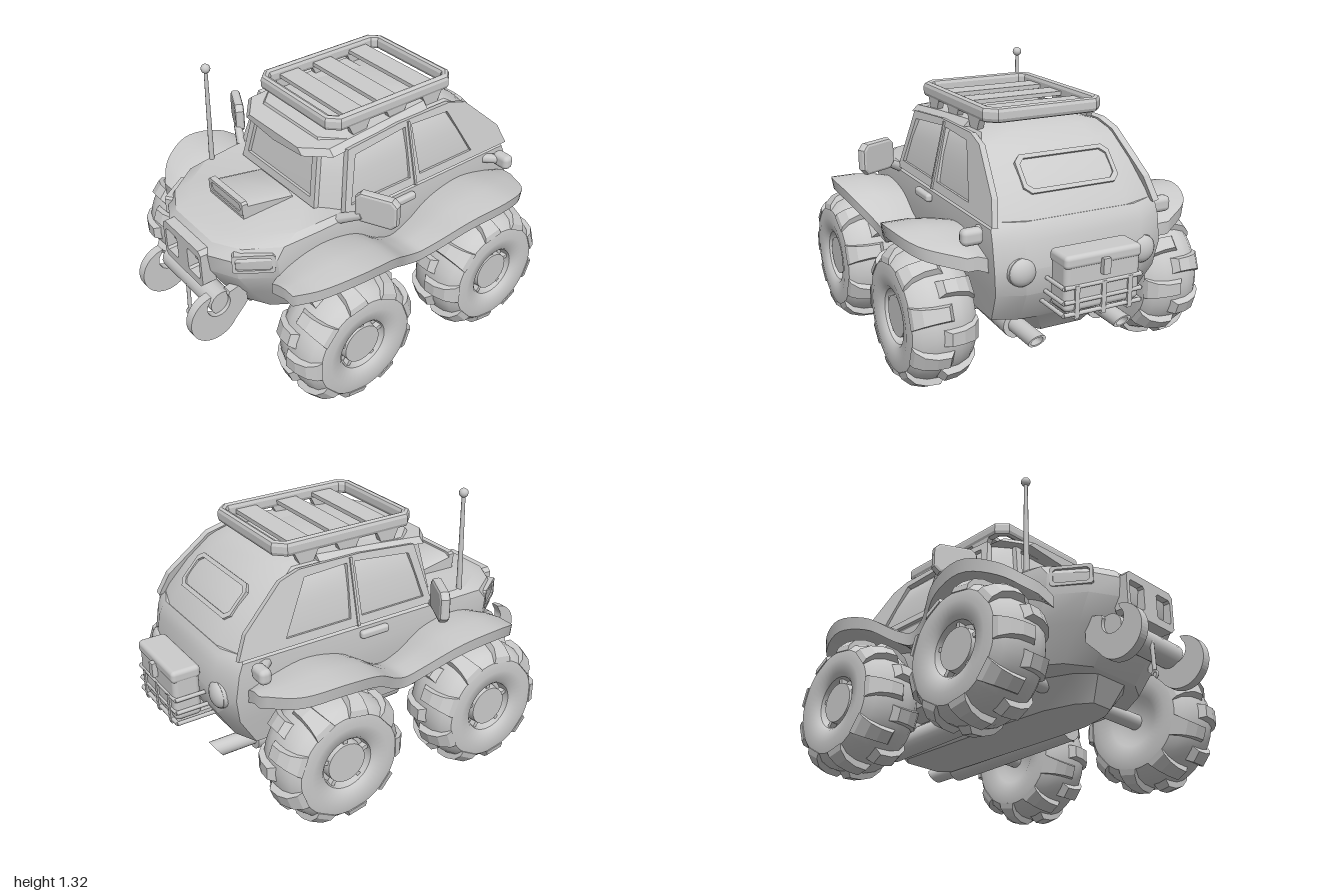
import * as THREE from 'three';
import { mergeGeometries, toCreasedNormals } from 'three/addons/utils/BufferGeometryUtils.js';
import { RoundedBoxGeometry } from 'three/addons/geometries/RoundedBoxGeometry.js';

const grey = new THREE.MeshStandardMaterial({ color: 0xcccccc, side: THREE.DoubleSide });

export function createModel() {
  const car = new THREE.Group();
  car.name = 'offRoadCar';

  const add = (name, geo, pos = [0, 0, 0], rot = [0, 0, 0], parent = car) => {
    const m = new THREE.Mesh(geo, grey);
    m.name = name;
    m.position.set(...pos);
    m.rotation.set(rot[0], rot[1], rot[2], 'YXZ');
    parent.add(m);
    return m;
  };
  const box = (name, size, pos, rot, parent) => add(name, new THREE.BoxGeometry(...size), pos, rot, parent);
  // cylinder between two points
  const rod = (name, a, b, r0, r1 = r0, parent = car, seg = 16) => {
    const p = new THREE.Vector3(...a), q = new THREE.Vector3(...b), d = q.clone().sub(p);
    const m = add(name, new THREE.CylinderGeometry(r1, r0, d.length(), seg), [0, 0, 0], [0, 0, 0], parent);
    m.position.copy(p.add(q).multiplyScalar(0.5));
    m.quaternion.setFromUnitVectors(new THREE.Vector3(0, 1, 0), d.normalize());
    return m;
  };
  // skin over a list of equal-length rings, closed at both ends
  const loft = (rings, crease = 0.5) => {
    const n = rings[0].length, verts = rings.flat(2), idx = [];
    for (let i = 0; i < rings.length - 1; i++) for (let j = 0; j < n; j++) {
      const a = i * n + j, b = i * n + (j + 1) % n;
      idx.push(a, b, b + n, a, b + n, a + n);
    }
    [[0, true], [rings.length - 1, false]].forEach(([r, flip]) => {
      const c = [0, 1, 2].map(k => rings[r].reduce((s, p) => s + p[k], 0) / n), ci = verts.length / 3;
      verts.push(...c);
      for (let j = 0; j < n; j++) {
        const a = r * n + j, b = r * n + (j + 1) % n;
        idx.push(ci, flip ? b : a, flip ? a : b);
      }
    });
    const g = new THREE.BufferGeometry();
    g.setAttribute('position', new THREE.Float32BufferAttribute(verts, 3));
    g.setIndex(idx);
    return toCreasedNormals(g, crease);
  };
  const mirrorRing = half => [...half, ...half.slice().reverse().map(([x, y, z]) => [x, y, -z])];
  // flat plate with holes
  const plate = (outer, holes, depth, bevel = 0) => {
    const toV = p => p.map(([x, y]) => new THREE.Vector2(x, y));
    const s = new THREE.Shape(toV(outer));
    holes.forEach(h => s.holes.push(new THREE.Path(toV(h))));
    return new THREE.ExtrudeGeometry(s, { depth, bevelEnabled: bevel > 0, bevelSize: bevel, bevelThickness: bevel, bevelSegments: 2 });
  };
  const rect = (w, h, c, cx = 0) => [[-w + c, -h], [w - c, -h], [w, -h + c], [w, h - c], [w - c, h], [-w + c, h], [-w, h - c], [-w, -h + c]]
    .map(([x, y]) => [x + cx, y]);

  // Lower body: plan outlines stacked upwards [y, front x, rear x, half width]
  const lower = [[0.23, -0.58, 0.64, 0.15], [0.34, -0.64, 0.72, 0.24], [0.35, -0.66, 0.73, 0.375], [0.5, -0.77, 0.82, 0.4],
    [0.62, -0.84, 0.84, 0.415], [0.74, -0.85, 0.82, 0.415], [0.79, -0.81, 0.8, 0.412], [0.815, -0.73, 0.785, 0.39]];
  add('lowerBody', loft(lower.map(([y, f, r, w]) => mirrorRing(
    [[f, 0.38 * w], [f + 0.07, 0.7 * w], [f + 0.22, 0.96 * w], [f + 0.4, w], [r - 0.05, w], [r, 0.7 * w]]
      .map(([x, z]) => [x, y + (y > 0.7 ? 0.06 * Math.min(0, x + 0.35) : 0), z])))));

  // Cabin core, its surface shows as the glass
  const cabin = [[0.77, -0.34, 0.805, 0.4], [0.85, -0.325, 0.765, 0.392], [0.97, -0.3, 0.67, 0.368], [1.07, -0.28, 0.565, 0.337],
    [1.12, -0.26, 0.48, 0.295], [1.15, -0.02, 0.36, 0.14]];
  add('cabin', loft(cabin.map(([y, f, r, w]) => mirrorRing(
    [[f, 0.7 * w], [f + 0.09, w], [r - 0.05, w], [r, 0.6 * w]].map(([x, z]) => [x, y, z])))));
  // Visor above the windscreen
  add('roofVisor', loft([[-0.36, 1.065, 0.22], [-0.27, 1.08, 0.335], [0, 1.105, 0.335], [0.3, 1.12, 0.32]].map(([x, y, w]) =>
    [[x, y, -w], [x, y + 0.025, -w + 0.03], [x, y + 0.03, w - 0.03], [x, y, w], [x, y - 0.02, 0]])));
  // Windscreen and rear window frames
  add('windscreenFrame', plate([[-0.29, 0], [0.29, 0], [0.25, 0.28], [-0.25, 0.28]],
    [[[-0.25, 0.04], [0.25, 0.04], [0.22, 0.25], [-0.22, 0.25]]], 0.025), [-0.325, 0.81, 0], [-0.2, -Math.PI / 2, 0]);
  add('rearWindowFrame', plate(rect(0.235, 0.093, 0.03), [rect(0.215, 0.073, 0.025)], 0.025), [0.648, 0.965, 0], [-0.74, Math.PI / 2, 0]);

  // Hood scoop, open at the front
  add('hoodScoop', loft([[-0.63, 0.875], [-0.36, 0.825]].map(([x, y]) =>
    [[x, 0.77, -0.14], [x, y - 0.015, -0.14], [x, y, -0.11], [x, y, 0.11], [x, y - 0.015, 0.14], [x, 0.77, 0.14]])));
  add('scoopMouth', plate(rect(0.14, 0.035, 0.01), [rect(0.12, 0.02, 0.01)], 0.03), [-0.605, 0.845, 0], [0, -Math.PI / 2, 0]);

  // Front panel with two square openings, and the winch
  add('frontPanel', plate(rect(0.165, 0.1, 0.02), [rect(0.05, 0.06, 0.01, -0.095), rect(0.05, 0.06, 0.01, 0.095)], 0.07),
    [-0.81, 0.637, 0], [0, -Math.PI / 2, 0]);
  rod('winchDrum', [-0.82, 0.46, -0.22], [-0.82, 0.46, 0.22], 0.06);
  rod('winchCable', [-0.87, 0.46, 0], [-0.875, 0.31, 0], 0.01, 0.01, car, 8);
  add('cableHook', new THREE.TorusGeometry(0.015, 0.006, 6, 12, 4.5), [-0.875, 0.292, 0]);

  // Parts present on both sides
  const hookShape = new THREE.Shape();
  hookShape.moveTo(-0.7, 0.54);
  hookShape.lineTo(-0.79, 0.52);
  hookShape.absarc(-0.85, 0.475, 0.06, 0.5, -3.9, true);
  hookShape.absarc(-0.875, 0.415, 0.124, 1.65, 5.7, false);
  hookShape.lineTo(-0.7, 0.42);
  const fenderCurve = new THREE.CatmullRomCurve3([[-0.66, 0.635, 0.55], [-0.58, 0.695, 0.65], [-0.42, 0.745, 0.72], [-0.22, 0.715, 0.7],
    [-0.07, 0.62, 0.63], [0.02, 0.59, 0.615], [0.1, 0.62, 0.64], [0.25, 0.715, 0.71], [0.44, 0.755, 0.745], [0.62, 0.72, 0.68], [0.73, 0.675, 0.51]]
    .map(p => new THREE.Vector3(...p)));
  const fenderGeo = loft(fenderCurve.getPoints(48).map(({ x, y, z }) => {
    const at = (t, dy) => [x, y + dy, 0.39 + (z - 0.39) * t];
    return [at(0, -0.035), at(0.3, -0.012), at(0.6, 0), at(1, 0), at(0.97, -0.06), at(0.6, -0.06), at(0, -0.09)];
  }), 0.7);

  // Tyre with rim recess, and staggered wedge lugs over the shoulders
  const tyreGeo = toCreasedNormals(new THREE.LatheGeometry([[0, -0.12], [0.1, -0.12], [0.13, -0.14], [0.2, -0.157], [0.25, -0.148], [0.283, -0.113], [0.301, -0.06], [0.305, 0],
    [0.301, 0.06], [0.283, 0.113], [0.25, 0.148], [0.2, 0.157], [0.14, 0.145], [0.125, 0.13], [0.118, 0.08], [0, 0.08]].map(p => new THREE.Vector2(...p)), 40), 0.6);
  const lugs = [];
  for (let i = 0; i < 18; i++) {
    const g = plate([[-0.03, 0.295], [0.1, 0.26], [0.135, 0.24], [0.153, 0.245], [0.147, 0.272], [0.113, 0.308], [0.06, 0.328], [0, 0.332]], [], 0.1);
    g.translate(0, 0, -0.05);
    const p = g.attributes.position;
    for (let k = 0; k < p.count; k++) p.setZ(k, p.getZ(k) * (1 - Math.max(0, p.getY(k) - 0.25) * 5));
    lugs.push(g.rotateY(i % 2 ? Math.PI / 2 : -Math.PI / 2).rotateZ((i + 0.5) * Math.PI / 9));
  }
  const lugGeo = mergeGeometries(lugs);
  lugGeo.computeVertexNormals();

  for (const side of [1, -1]) {
    const half = new THREE.Group();
    half.name = side > 0 ? 'leftSide' : 'rightSide';
    half.scale.z = side;
    car.add(half);

    add('fender', fenderGeo, [0, 0, 0], [0, 0, 0], half);
    for (const x of [-0.405, 0.42]) {
      const wheel = new THREE.Group();
      wheel.name = x < 0 ? 'frontWheel' : 'rearWheel';
      wheel.position.set(x, 0.332, 0.59);
      half.add(wheel);
      add('tyre', tyreGeo, [0, 0, 0], [Math.PI / 2, 0, 0], wheel);
      add('treadLugs', lugGeo, [0, 0, 0], [0, 0, 0], wheel);
      rod('hub', [0, 0, 0.07], [0, 0, 0.125], 0.1, 0.095, wheel, 28);
      for (let i = 0; i < 5; i++) {
        const a = i * Math.PI * 0.4 + 0.3;
        box('rimSpoke', [0.04, 0.02, 0.03], [Math.cos(a) * 0.108, Math.sin(a) * 0.108, 0.1], [0, 0, a], wheel);
      }
      rod('axle', [x, 0.33, 0], [x, 0.33, 0.5], 0.04, 0.04, half);
    }
    // Door side with two window openings, leaning inwards
    add('doorFrame', plate([[-0.27, 0], [-0.24, 0.13], [-0.2, 0.3], [0.1, 0.325], [0.42, 0.325], [0.52, 0.295], [0.72, 0.11], [0.77, 0]],
      [[[-0.225, 0.04], [0.13, 0.04], [0.135, 0.295], [-0.165, 0.265]], [[0.19, 0.04], [0.53, 0.04], [0.4, 0.285], [0.175, 0.295]]], 0.03),
      [0, 0.8, 0.388], [-0.225, 0, 0], half);
    box('doorSeam', [0.012, 0.32, 0.012], [0.155, 0.96, 0.384], [-0.225, 0, 0], half);
    add('doorHandle', new RoundedBoxGeometry(0.155, 0.04, 0.035, 2, 0.015), [0.07, 0.755, 0.425], [0, 0, 0], half);
    // Mirror on its arm
    add('mirror', plate(rect(0.09, 0.063, 0.02), [], 0.02, 0.014).center(), [-0.2, 0.893, 0.557], [0, 0.45 - Math.PI / 2, 0], half);
    rod('mirrorArm', [-0.29, 0.79, 0.39], [-0.24, 0.85, 0.5], 0.025, 0.02, half, 8);
    // Lamps
    add('sideLamp', new RoundedBoxGeometry(0.06, 0.075, 0.1, 2, 0.025), [0.695, 0.757, 0.475], [0, 0, 0], half);
    rod('sideLampStem', [0.63, 0.757, 0.4], [0.68, 0.757, 0.45], 0.025, 0.025, half, 8);
    add('rearLamp', new THREE.SphereGeometry(0.066, 20, 12), [0.815, 0.61, 0.3], [0, 0, 0], half).scale.x = 0.6;
    rod('rearLampRing', [0.76, 0.61, 0.3], [0.825, 0.61, 0.3], 0.07, 0.066, half, 20);
    add('headlampFrame', plate(rect(0.095, 0.048, 0.01), [rect(0.08, 0.033, 0.01)], 0.04), [-0.695, 0.705, 0.308], [0, -0.6, 0], half);
    // Tow hook
    add('towHook', new THREE.ExtrudeGeometry(hookShape, { depth: 0.045, bevelEnabled: false, curveSegments: 16 }), [0, 0, 0.195], [0, 0, 0], half);
    // Exhaust: muffler and an open, slanted tip
    rod('muffler', [-0.2, 0.285, 0.22], [0.62, 0.27, 0.22], 0.06, 0.065, half);
    const tip = toCreasedNormals(new THREE.LatheGeometry([[0.03, -0.1], [0.04, -0.1], [0.04, 0.1], [0.028, 0.1], [0.028, -0.1]].map(p => new THREE.Vector2(...p)), 20), 0.6);
    tip.rotateZ(-Math.PI / 2);
    const tp = tip.attributes.position;
    for (let k = 0; k < tp.count; k++) if (tp.getX(k) > 0) tp.setX(k, tp.getX(k) + tp.getY(k) * 0.7);
    add('exhaustTip', tip, [0.71, 0.27, 0.22], [0, 0, 0], half);
    // Roof rack feet
    for (const x of [-0.09, 0.13, 0.35])
      add('rackFoot', plate([[-0.03, 0], [0.03, 0], [0.07, 0.08], [-0.07, 0.08]], [], 0.03), [x, 1.11, 0.265], [0, 0, 0], half);
  }

  // Roof rack
  add('rackRail', plate(rect(0.355, 0.28, 0.04), [rect(0.355, 0.275, 0.035)], 0.03, 0.02).rotateX(-Math.PI / 2), [0.125, 1.185, 0]);
  for (const x of [-0.08, 0.12, 0.345]) box('rackSlat', [0.11, 0.02, 0.56], [x, 1.195, 0]);

  // Aerial
  rod('aerial', [-0.48, 0.78, -0.37], [-0.475, 1.3, -0.365], 0.014, 0.009, car, 8);
  add('aerialBall', new THREE.SphereGeometry(0.023, 12, 8), [-0.475, 1.298, -0.365]);

  // Rear luggage carrier
  add('luggageCase', new RoundedBoxGeometry(0.13, 0.25, 0.37, 3, 0.025), [0.91, 0.58, 0]);
  add('caseLid', new RoundedBoxGeometry(0.14, 0.06, 0.375, 3, 0.02), [0.91, 0.678, 0]);
  box('caseLatch', [0.03, 0.07, 0.035], [0.985, 0.645, 0]);
  for (const y of [0.57, 0.505, 0.45]) {
    rod('carrierBar', [0.973, y, -0.19], [0.973, y, 0.19], 0.01, 0.01, car, 8);
    for (const z of [-0.19, 0.19]) rod('carrierSideBar', [0.78, y, z], [0.975, y, z], 0.01, 0.01, car, 8);
  }
  for (const z of [-0.13, 0, 0.13]) {
    box('carrierPost', [0.02, 0.14, 0.022], [0.973, 0.505, z]);
    box('carrierFloorBar', [0.2, 0.015, 0.022], [0.88, 0.435, z]);
  }
  return car;
}
